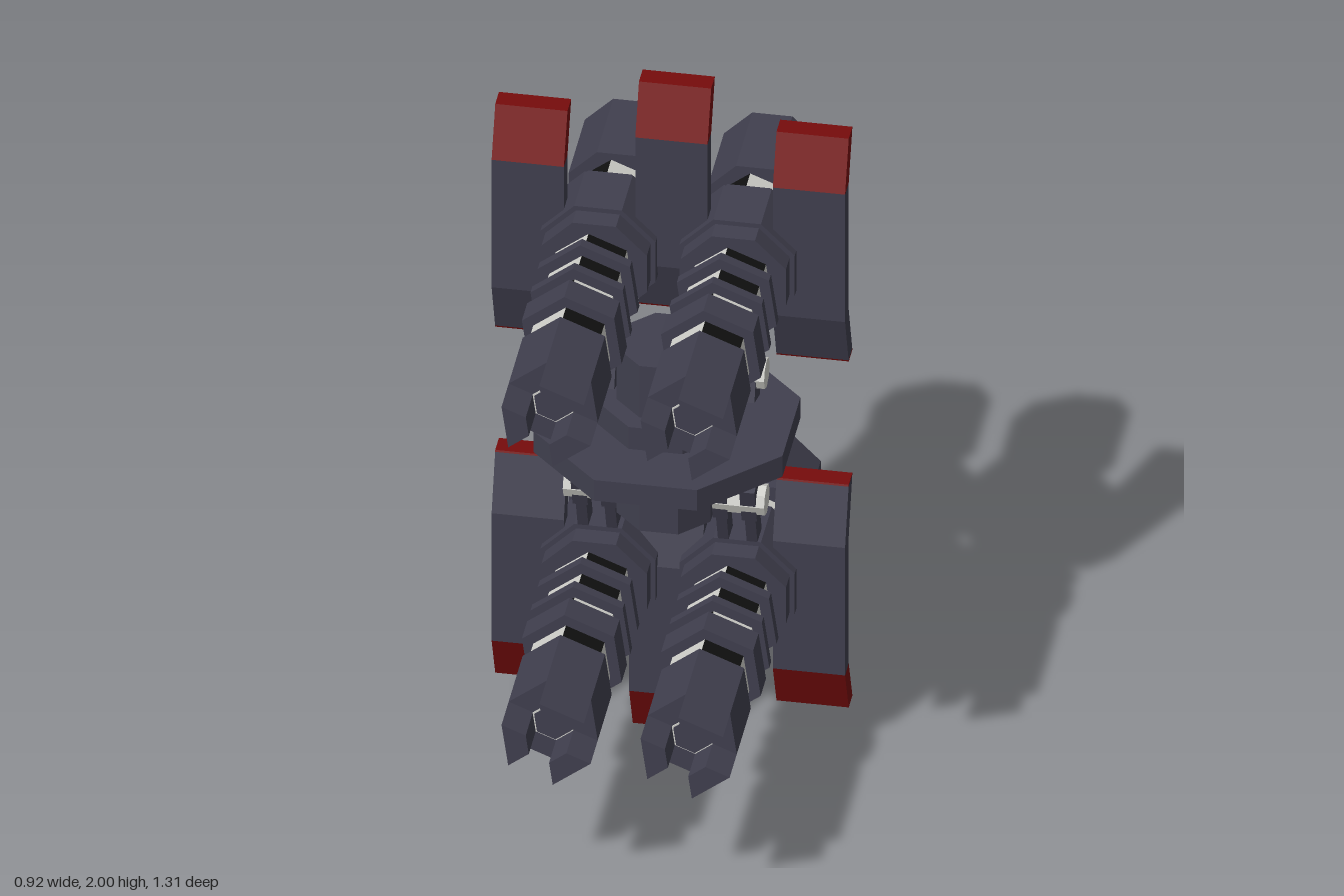
import * as THREE from 'three';

const mat = (name, color) => {
  const m = new THREE.MeshStandardMaterial({ color });
  m.name = name;
  return m;
};

export function createModel() {
  const dark = mat('darkHull', 0x403f4e);
  const red = mat('redTip', 0x760c0c);
  const light = mat('paleMetal', 0xcfcfca);
  const black = mat('blackMetal', 0x101010);
  const root = new THREE.Group();
  root.name = 'quadCannon';

  const rad = THREE.MathUtils.degToRad;
  const HEX = 8;            // hexagon corner offset, degrees
  const OCT = 22.5;
  const octR = (apothem) => apothem / Math.cos(Math.PI / 8);
  const polar = (r, deg) => new THREE.Vector2(r * Math.cos(rad(deg)), r * Math.sin(rad(deg)));

  const add = (parent, name, geo, material) => {
    const mesh = new THREE.Mesh(geo, material);
    mesh.name = name;
    parent.add(mesh);
    return mesh;
  };
  const flat = (geo) => {
    const g = geo.toNonIndexed();
    g.computeVertexNormals();
    return g;
  };
  // Extrudes an outline in the xy plane from z0 to z1
  const slab = (points, z0, z1) =>
    new THREE.ExtrudeGeometry(new THREE.Shape(points), { depth: z1 - z0, bevelEnabled: false }).translate(0, 0, z0);
  const prism = (n, r, start, z0, z1) =>
    slab(Array.from({ length: n }, (_, i) => polar(r, start + (i * 360) / n)), z0, z1);
  const octPrism = (apothem, z0, z1) => prism(8, octR(apothem), OCT, z0, z1);
  const hexPrism = (r, z0, z1) => prism(6, r, HEX + 30, z0, z1);

  // Central mast: stacked octagonal drums
  const drum = (name, apothem, y0, y1) => {
    const r = octR(apothem);
    const geo = new THREE.CylinderGeometry(r, r, y1 - y0, 8).rotateY(Math.PI / 8);
    add(root, name, flat(geo.translate(0, (y0 + y1) / 2, -0.118)), dark);
  };
  drum('mastColumn', 0.122, 0.747, 1.26);
  drum('mastHub', 0.17, 0.905, 1.1);
  drum('mastDisc', 0.324, 0.968, 1.032);

  // Gun core section with pale and black facets
  const core = (gun, z0, z1, blackFaces) => {
    const geo = flat(new THREE.CylinderGeometry(0.108, 0.108, z1 - z0, 6, 1, true)
      .rotateX(Math.PI / 2).rotateZ(rad(HEX)).translate(0, 0, (z0 + z1) / 2));
    geo.clearGroups();
    for (let f = 0; f < 6; f++) geo.addGroup(f * 6, 6, blackFaces.includes(f) ? 1 : 0);
    add(gun, 'gunCore', geo, [light, black]);
  };

  const buildGun = (x, y) => {
    const gun = new THREE.Group();
    gun.name = 'gun';
    gun.position.set(x, y, 0);
    root.add(gun);
    add(gun, 'rearCasing', octPrism(0.126, -0.655, -0.41), dark);
    add(gun, 'collar', octPrism(0.137, -0.31, -0.07), dark);
    add(gun, 'collarBand', octPrism(0.15, -0.285, -0.127), dark);
    for (const [z0, z1] of [[0, 0.03], [0.11, 0.138], [0.187, 0.267]])
      add(gun, 'barrelRing', hexPrism(0.14, z0, z1), dark);
    core(gun, -0.41, -0.31, [3, 5]);
    core(gun, -0.07, 0, [2, 4]);
    core(gun, 0.03, 0.11, [2, 5]);
    core(gun, 0.138, 0.187, [3, 0]);
    core(gun, 0.267, 0.335, [2, 4]);
    // Muzzle with three prongs around a bore
    add(gun, 'muzzle', hexPrism(0.125, 0.335, 0.545), dark);
    add(gun, 'boreRim', hexPrism(0.057, 0.545, 0.548), light);
    add(gun, 'bore', hexPrism(0.052, 0.548, 0.552), dark);
    for (let a = HEX + 30; a < 360; a += 120)
      add(gun, 'muzzleProng',
        slab([polar(0.057, a), polar(0.125, a), polar(0.125, a + 60), polar(0.057, a + 60)], 0.545, 0.652), dark);
  };

  // Struts and pivot pin joining a gun to the mast
  const buildMount = (side, flip) => {
    const mount = new THREE.Group();
    mount.name = 'gunMount';
    root.add(mount);
    const y = (v) => (flip ? 2.006 - v : v);
    const pin = new THREE.CylinderGeometry(0.042, 0.042, 0.136, 8).rotateZ(Math.PI / 2);
    add(mount, 'pivotPin', flat(pin.translate(side * 0.194, y(1.2), -0.106)), light);
    const tilt = (flip ? 1 : -1) * 0.33;
    for (const x of [0.145, 0.22]) {
      const knuckle = add(mount, 'knuckle', new THREE.BoxGeometry(0.04, 0.12, 0.085), dark);
      knuckle.position.set(side * x, y(1.187), -0.106);
      knuckle.rotation.x = tilt;
      const strut = add(mount, 'strut', new THREE.BoxGeometry(0.028, 0.26, 0.06), dark);
      strut.position.set(side * x, y(1.31), -0.145);
      strut.rotation.x = tilt;
    }
  };

  for (const x of [-0.181, 0.181]) {
    buildGun(x, 1.497);
    buildGun(x, 0.506);
    buildMount(Math.sign(x), false);
    buildMount(Math.sign(x), true);
  }

  // Armour panel: bent strip with red outer tip and red inner end
  const T = 0.055, WIDTH = 0.188;
  const strip = (name, x, line, material) => {
    const front = line.map(([z, y]) => new THREE.Vector2(z, y));
    const back = line.map(([z, y]) => new THREE.Vector2(z - T, y)).reverse();
    const geo = slab([...front, ...back], -WIDTH / 2, WIDTH / 2).rotateY(-Math.PI / 2);
    add(root, name, geo.translate(x, 0, 0), material);
  };
  const buildPanel = (x, top, bottom, flip) => {
    const line = (pts) => pts.map(([z, y]) => [z, flip ? 2 - y : y]);
    strip('panelTip', x, line([[-0.205, top], [-0.15, top - 0.137]]), red);
    strip('panel', x, line([[-0.15, top - 0.137], [-0.15, bottom + 0.16], [-0.203, bottom + 0.005]]), dark);
    strip('panelEnd', x, line([[-0.203, bottom + 0.005], [-0.205, bottom]]), red);
  };
  for (const flip of [false, true]) {
    buildPanel(flip ? -0.01 : 0.006, 2, 1.308, flip);
    for (const x of [-0.368, 0.364]) buildPanel(x, 1.886, 1.192, flip);
  }
  return root;
}
